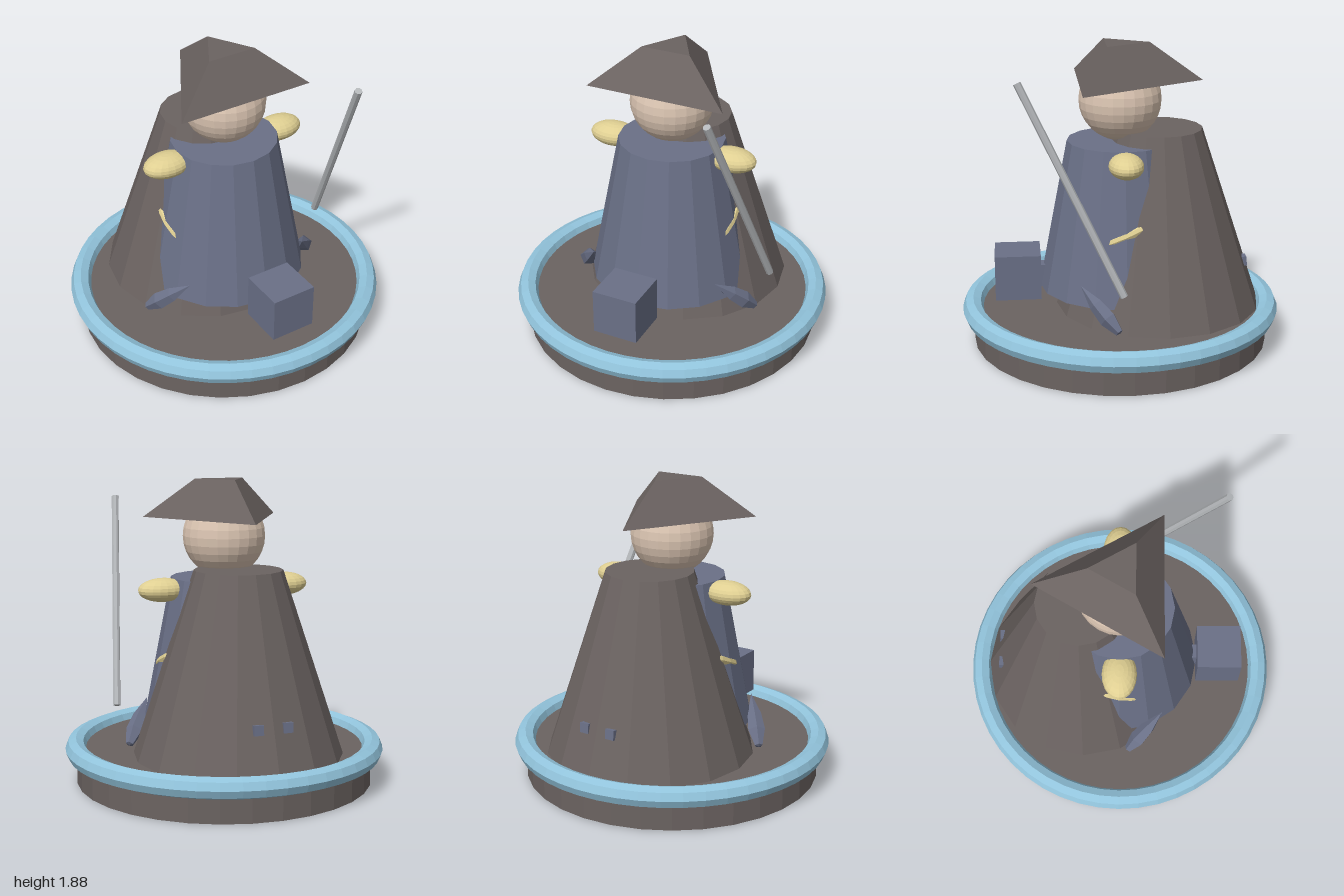
import * as THREE from 'three';

const mat = (name, color) => {
  const m = new THREE.MeshStandardMaterial({ color });
  m.name = name;
  return m;
};

export function createModel() {
  const group = new THREE.Group();
  const brown = mat('dark brown', 0x6b6361);
  const blue = mat('slate blue', 0x6a7087);
  const sky = mat('sky blue', 0x92c4dc);
  const yellow = mat('pale yellow', 0xdfcf92);
  const skin = mat('skin', 0xdcc6b3);
  const grey = mat('steel grey', 0xb4b7ba);

  // Every part is faceted: unshared vertices give flat normals
  const add = (name, geometry, material, x = 0, y = 0, z = 0) => {
    const flat = geometry.index ? geometry.toNonIndexed() : geometry;
    flat.computeVertexNormals();
    const mesh = new THREE.Mesh(flat, material);
    mesh.name = name;
    mesh.position.set(x, y, z);
    group.add(mesh);
    return mesh;
  };
  // Turns a mesh built along y so that it runs from a to b
  const span = (mesh, a, b) => {
    mesh.position.copy(a).lerp(b, 0.5);
    mesh.quaternion.setFromUnitVectors(new THREE.Vector3(0, 1, 0), b.clone().sub(a).normalize());
  };

  // Round stand with a padded rim
  add('base', new THREE.CylinderGeometry(0.93, 0.93, 0.22, 32), brown, 0, 0.11, 0);
  add('rim', new THREE.TorusGeometry(0.934, 0.066, 8, 48).rotateX(Math.PI / 2), sky, 0, 0.214, 0);

  // Robe in front, cape behind
  add('robe', new THREE.CylinderGeometry(0.33, 0.51, 0.93, 16), blue, 0, 0.82, 0);
  add('cape', new THREE.CylinderGeometry(0.27, 0.645, 1.135, 16), brown, 0, 0.7875, -0.24);

  // Tilted belt that emerges at the sides only
  add('belt', new THREE.TorusGeometry(0.402, 0.03, 8, 32).rotateX(Math.PI / 2 + 0.4), yellow, 0, 0.785, 0);

  // Head and three-cornered hat
  add('head', new THREE.SphereGeometry(0.255, 24, 16), skin, 0, 1.54, 0);
  add('hat', new THREE.CylinderGeometry(0.18, 0.51, 0.24, 3).rotateY(Math.PI), brown, 0, 1.765, 0);

  // Chest held in front with a small bracket
  add('box', new THREE.BoxGeometry(0.285, 0.285, 0.285), blue, 0, 0.4425, 0.6475);
  add('bracket', new THREE.BoxGeometry(0.09, 0.14, 0.12), blue, 0, 0.42, 0.45);

  // Staff on the left side
  const top = new THREE.Vector3(0.51, 1.75, 0.63);
  const foot = new THREE.Vector3(0.69, 0.515, 0.04);
  span(add('staff', new THREE.CylinderGeometry(0.023, 0.023, top.distanceTo(foot), 8), grey), foot, top);

  for (const s of [-1, 1]) {
    const side = s > 0 ? 'left' : 'right';
    // Stubby hand
    add(side + 'Hand', new THREE.SphereGeometry(1, 20, 12).scale(0.155, 0.073, 0.105), yellow, s * 0.4, 1.22, 0);

    // Pointed fin beside the hem
    const tip = new THREE.Vector3(s * 0.42, 0.49, 0.278);
    const end = new THREE.Vector3(s * 0.61, 0.25, 0.055);
    const len = tip.distanceTo(end);
    const profile = [[0, -0.5], [0.025, -0.48], [0.055, -0.2], [0.045, 0.1], [0, 0.5]]
      .map(([r, t]) => new THREE.Vector2(r, t * len));
    span(add(side + 'Fin', new THREE.LatheGeometry(profile, 5), blue), end, tip);

    // Small stud on the back of the cape
    const stud = add(side + 'Stud', new THREE.BoxGeometry(0.06, 0.06, 0.04), blue, s * 0.092, 0.5, -0.772);
    stud.rotation.x = 0.1;
  }
  return group;
}
